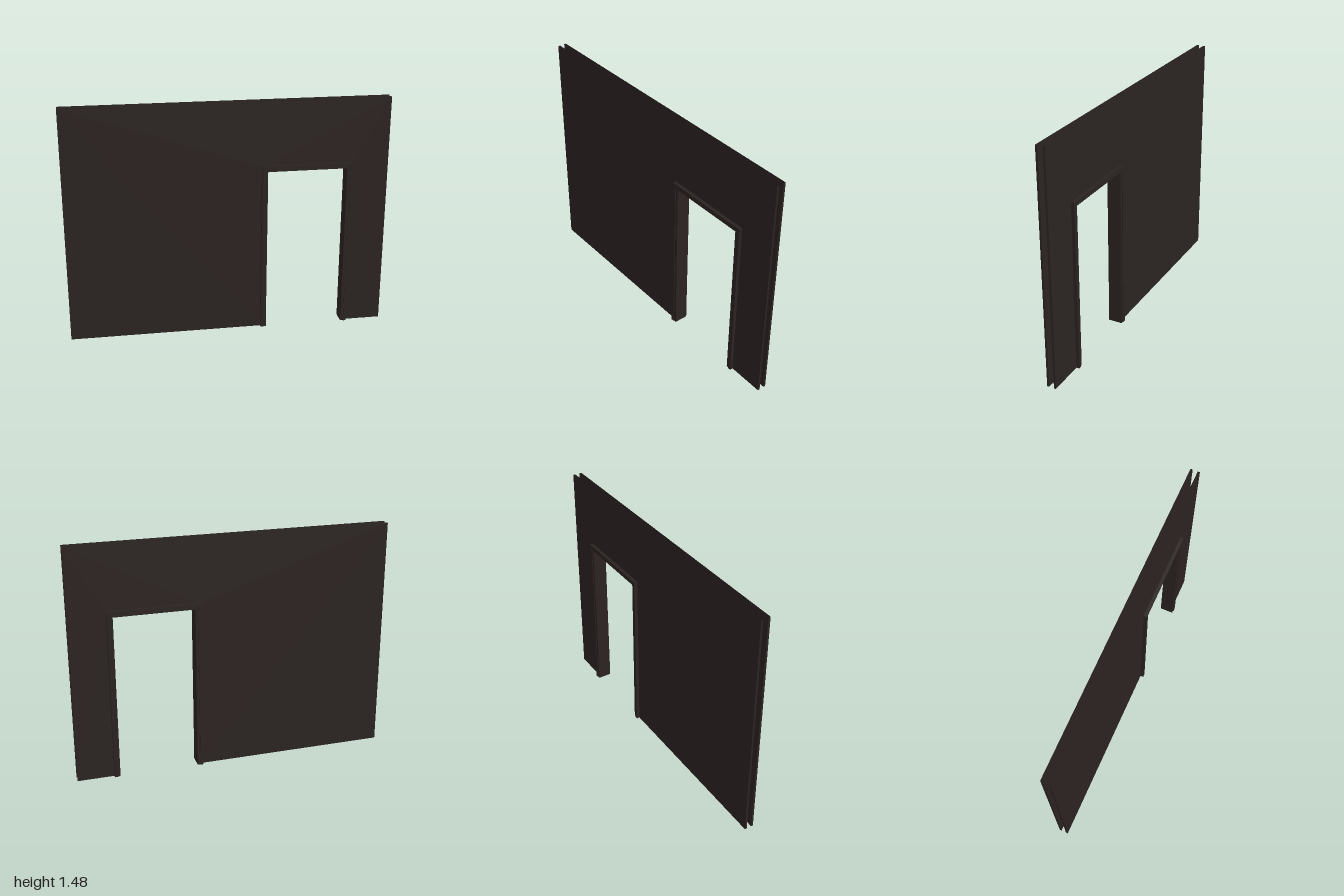
import * as THREE from 'three';

const darkBrown = new THREE.MeshStandardMaterial({ color: 0x2b2321, side: THREE.DoubleSide });
darkBrown.name = 'darkBrown';

const HEIGHT = 1.475, OUTER = 0.029, INNER = 0.016;
const DOOR = { left: 0.24, right: 0.737, top: 1.04 };
const TRIM = 0.036;

function add(parent, name, geometry, x = 0, y = 0, z = 0) {
  const mesh = new THREE.Mesh(geometry, darkBrown);
  mesh.name = name;
  mesh.position.set(x, y, z);
  parent.add(mesh);
  return mesh;
}

// Arch-shaped outline of the frame, open at the floor
function frameShape(inset) {
  const { left, right, top } = DOOR;
  const s = new THREE.Shape();
  s.moveTo(left - TRIM, 0);
  s.lineTo(left - inset, 0);
  s.lineTo(left - inset, top + inset);
  s.lineTo(right + inset, top + inset);
  s.lineTo(right + inset, 0);
  s.lineTo(right + TRIM, 0);
  s.lineTo(right + TRIM, top + TRIM);
  s.lineTo(left - TRIM, top + TRIM);
  s.closePath();
  return s;
}

// Wall outline with the doorway notched out
function wallShape() {
  const l = DOOR.left - 0.03, r = DOOR.right + 0.03, t = DOOR.top + 0.03;
  return new THREE.Shape([
    [-1, 0], [l, 0], [l, t], [r, t], [r, 0], [1, 0], [1, HEIGHT], [-1, HEIGHT],
  ].map(([x, y]) => new THREE.Vector2(x, y)));
}

// Thin hollow wall skin: two sheets and end strips, open along top and bottom
function wallPanel(name) {
  const panel = new THREE.Group();
  panel.name = name;
  const sheet = new THREE.ShapeGeometry(wallShape());
  add(panel, 'outerSheet', sheet, 0, 0, OUTER);
  const back = sheet.clone();
  const index = back.index.array;
  for (let i = 0; i < index.length; i += 3) {
    [index[i], index[i + 1]] = [index[i + 1], index[i]];
  }
  back.computeVertexNormals();
  add(panel, 'innerSheet', back, 0, 0, INNER);
  for (const side of [-1, 1]) {
    const strip = new THREE.PlaneGeometry(OUTER - INNER, HEIGHT);
    strip.rotateY(side * Math.PI / 2);
    add(panel, 'endStrip', strip, side, HEIGHT / 2, (OUTER + INNER) / 2);
  }
  return panel;
}

export function createModel() {
  const model = new THREE.Group();
  model.name = 'doorwayWall';

  const front = wallPanel('frontPanel');
  const rear = wallPanel('backPanel');
  rear.position.z = -(OUTER + INNER);
  model.add(front, rear);

  // Door frame: deep lining with slightly raised trim on both faces
  const frame = new THREE.Group();
  frame.name = 'doorFrame';
  const lining = new THREE.ExtrudeGeometry(frameShape(0), { depth: 0.088, bevelEnabled: false });
  add(frame, 'lining', lining, 0, 0, -0.044);
  const trim = new THREE.ExtrudeGeometry(frameShape(0.017), { depth: 0.005, bevelEnabled: false });
  add(frame, 'frontTrim', trim, 0, 0, 0.044);
  add(frame, 'backTrim', trim, 0, 0, -0.049);
  model.add(frame);

  return model;
}
